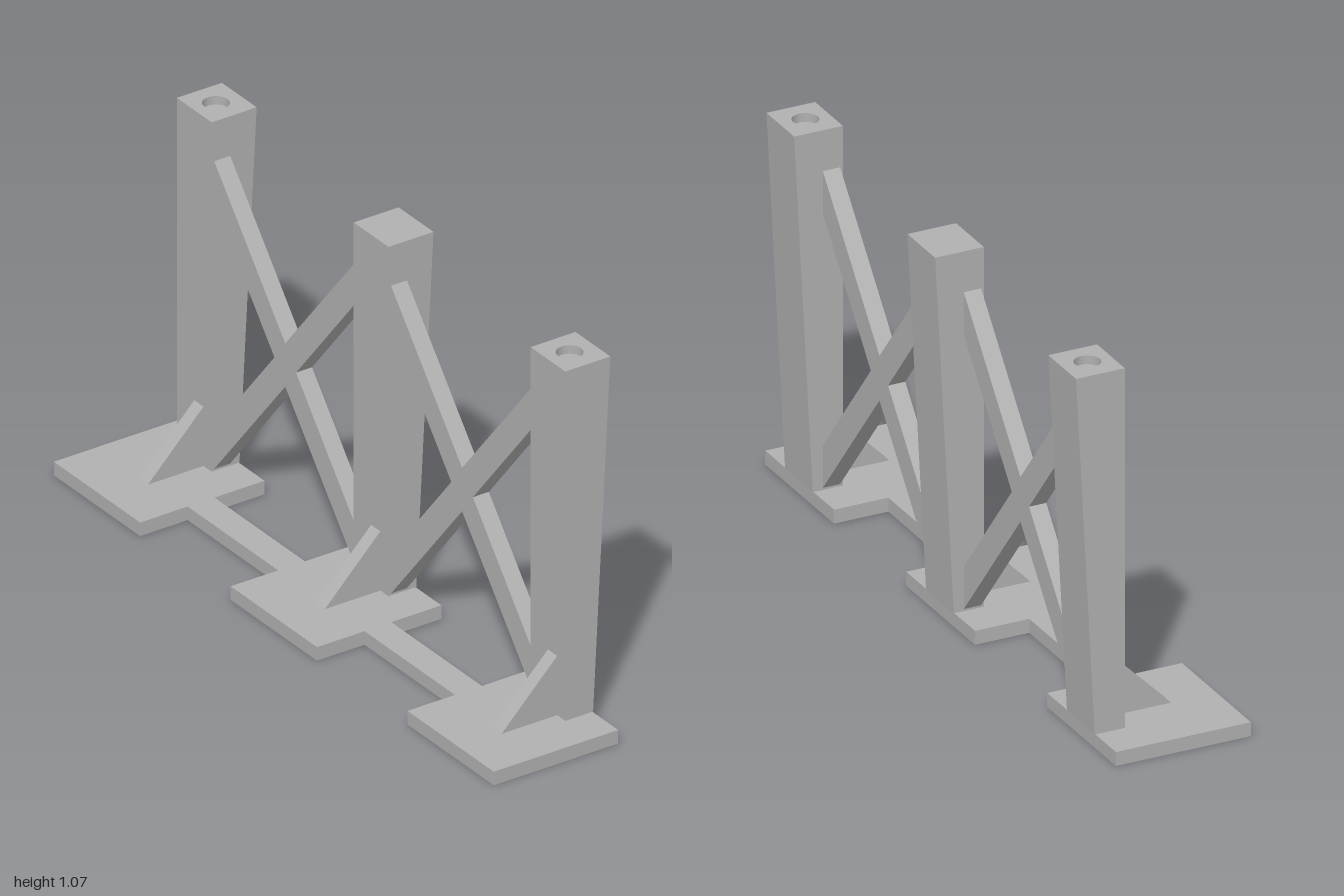
import * as THREE from 'three';

const SPACING = 0.803;   // distance between posts
const BASE_H = 0.04, TOP = 1.071;
const INNER = 0.082, OUTER = 0.223; // post faces at the top
const HALF = 0.079;      // half the post thickness along z

const polygon = (pts) => new THREE.Shape(pts.map(([x, y]) => new THREE.Vector2(x, y)));
const extrude = (shape, depth) => new THREE.ExtrudeGeometry(shape, { depth, bevelEnabled: false });

export function createModel() {
  const group = new THREE.Group();
  const grey = new THREE.MeshStandardMaterial({ color: 0xb0b0b0 });
  grey.name = 'grey';
  const add = (name, geometry, parent = group) => {
    const mesh = new THREE.Mesh(geometry, grey);
    mesh.name = name;
    parent.add(mesh);
    return mesh;
  };

  // Base: three square feet joined by a narrow strip, cut as one plate
  const f = 0.196, x0 = -0.223, x1 = 0.167, s0 = -0.074, s1 = 0.01;
  const rightSide = [], leftSide = [];
  for (const c of [-SPACING, 0, SPACING]) {
    if (c > -SPACING) { rightSide.push([s1, c - f]); leftSide.push([s0, c - f]); }
    rightSide.push([x1, c - f], [x1, c + f]);
    leftSide.push([x0, c - f], [x0, c + f]);
    if (c < SPACING) { rightSide.push([s1, c + f]); leftSide.push([s0, c + f]); }
  }
  add('basePlate', extrude(polygon([...rightSide, ...leftSide.reverse()]), BASE_H).rotateX(-Math.PI / 2));

  // Posts: outer face leans outward with height; end posts have a peg hole
  const holeX = 0.15, holeR = 0.036, holeDepth = 0.025;
  for (const c of [-SPACING, 0, SPACING]) {
    const post = new THREE.Group();
    post.name = 'post';
    post.position.z = c;
    group.add(post);

    const body = new THREE.BoxGeometry(1, TOP - BASE_H, HALF * 2);
    const p = body.attributes.position;
    for (let i = 0; i < p.count; i++) {
      const outer = p.getY(i) > 0 ? OUTER : 0.169;
      p.setX(i, p.getX(i) > 0 ? outer : INNER);
    }
    body.translate(0, (TOP + BASE_H) / 2, 0);
    // The top face is left out and closed by the pierced or plain cap below
    const index = Array.from(body.index.array);
    index.splice(12, 6);
    body.setIndex(index);
    body.clearGroups();
    body.computeVertexNormals();
    add('postBody', body, post);

    const cap = polygon([[INNER, -HALF], [OUTER, -HALF], [OUTER, HALF], [INNER, HALF]]);
    if (c !== 0) {
      cap.holes.push(new THREE.Path().absarc(holeX, 0, holeR, 0, Math.PI * 2, true));
      // Hole wall turned inside out, plus its floor
      const wall = new THREE.CylinderGeometry(holeR, holeR, holeDepth, 32, 1, true);
      wall.scale(-1, 1, 1);
      wall.computeVertexNormals();
      add('holeWall', wall, post).position.set(holeX, TOP - holeDepth / 2, 0);
      add('holeFloor', new THREE.CircleGeometry(holeR, 32).rotateX(-Math.PI / 2), post)
        .position.set(holeX, TOP - holeDepth, 0);
    }
    add('postTop', new THREE.ShapeGeometry(cap, 16).rotateX(-Math.PI / 2), post).position.y = TOP;

    // Triangular gusset behind the post
    add('gusset', extrude(polygon([[-0.092, BASE_H], [INNER, BASE_H], [INNER, 0.215]]), 0.042), post);
  }

  // Cross braces between neighbouring posts
  const z0 = HALF, z1 = SPACING - HALF, zm = SPACING / 2, ym = 0.5;
  const cross = polygon([
    [z0, 0.046], [zm, 0.436], [z1, 0.046], [z1, 0.168], [zm + 0.049, ym], [z1, 0.832],
    [z1, 0.954], [zm, 0.564], [z0, 0.954], [z0, 0.832], [zm - 0.049, ym], [z0, 0.168],
  ]);
  const brace = extrude(cross, 0.05).rotateY(-Math.PI / 2);
  for (const z of [0, -SPACING]) add('crossBrace', brace).position.set(0.14, 0, z);

  return group;
}
